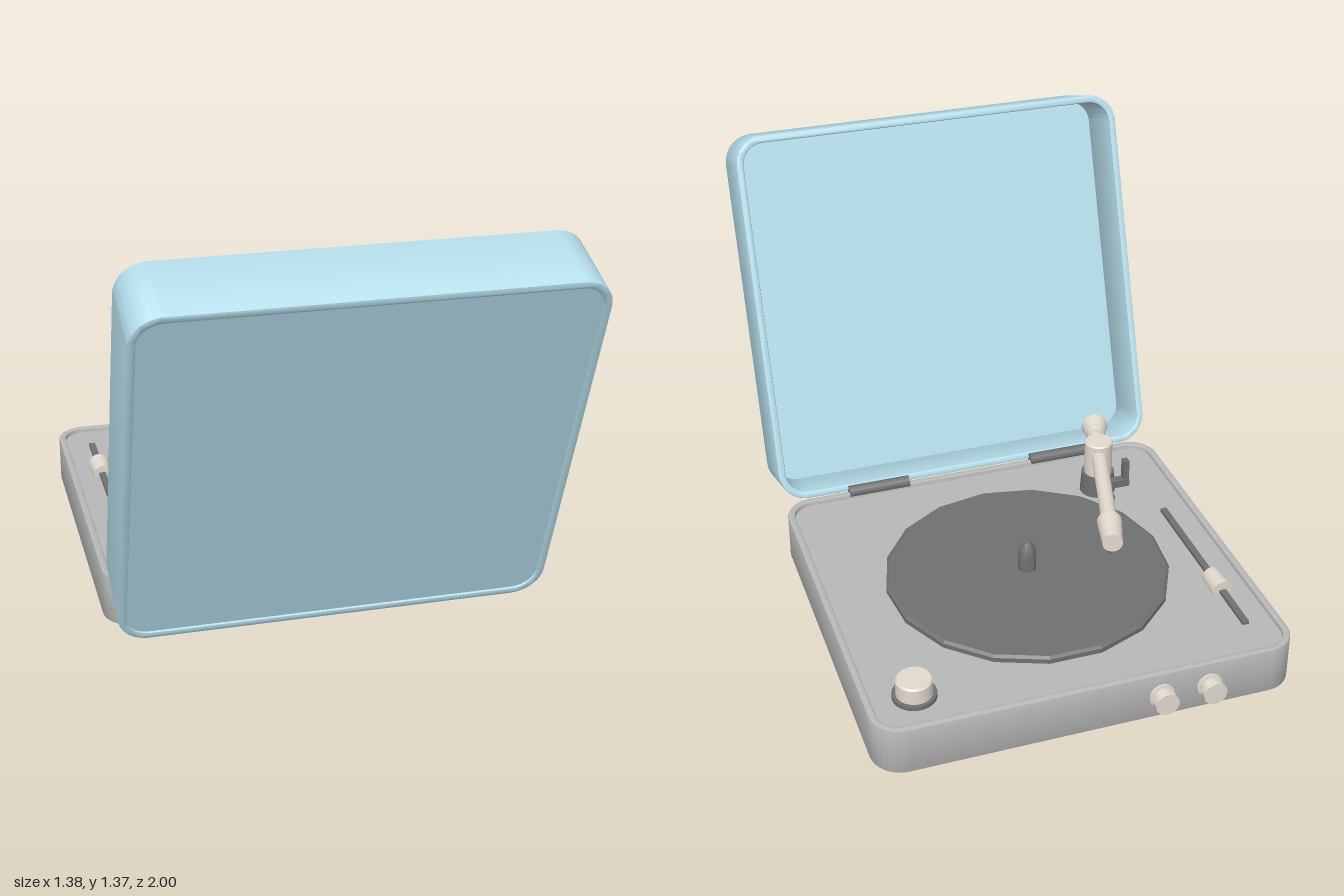
import * as THREE from 'three';
import { toCreasedNormals } from 'three/addons/utils/BufferGeometryUtils.js';

const mat = (color) => new THREE.MeshStandardMaterial({ color });
const W = 1.38, D = 1.28, R = 0.1, WALL = 0.025;
const CENTRE_Z = -0.31, DECK_Y = 0.15, BASE_H = 0.166;

// Rounded rectangle centred on the origin, shrunk by inset
function roundedRect(inset, Type = THREE.Shape) {
  const w = W / 2 - inset, h = D / 2 - inset, r = R - inset;
  const s = new Type();
  s.absarc(w - r, h - r, r, 0, Math.PI / 2);
  s.absarc(-w + r, h - r, r, Math.PI / 2, Math.PI);
  s.absarc(-w + r, -h + r, r, Math.PI, Math.PI * 1.5);
  s.absarc(w - r, -h + r, r, Math.PI * 1.5, Math.PI * 2);
  s.closePath();
  return s;
}

// Rounded wall running all the way round, with softened edges
function wallGeometry(depth) {
  const shape = roundedRect(0);
  shape.holes.push(roundedRect(WALL, THREE.Path));
  const b = 0.006;
  const g = new THREE.ExtrudeGeometry(shape, {
    depth: depth - 2 * b, curveSegments: 10, bevelEnabled: true,
    bevelThickness: b, bevelSize: b, bevelOffset: -b, bevelSegments: 2,
  });
  return toCreasedNormals(g.translate(0, 0, b), 0.6);
}

// Flat sheet filling the wall, from depth z0 to z1
function sheetGeometry(z0, z1) {
  const g = new THREE.ExtrudeGeometry(roundedRect(WALL - 0.003), {
    depth: z1 - z0, curveSegments: 10, bevelEnabled: false,
  });
  return toCreasedNormals(g.translate(0, 0, z0), 0.6);
}

function createModel() {
  const model = new THREE.Group();
  model.name = 'recordPlayer';
  const grey = mat(0xb8b8b8), dark = mat(0x707070), under = mat(0x686868);
  const cream = mat(0xe2dace), blue = mat(0xb4dcea);

  const add = (parent, name, geo, material, x = 0, y = 0, z = 0) => {
    const m = new THREE.Mesh(geo, material);
    m.name = name;
    m.position.set(x, y, z);
    parent.add(m);
    return m;
  };
  const cyl = (rTop, rBottom, h, n = 24) => new THREE.CylinderGeometry(rTop, rBottom, h, n);
  const lathe = (pts, n = 24) => toCreasedNormals(
    new THREE.LatheGeometry(pts.map(([x, y]) => new THREE.Vector2(x, y)), n), 0.6);

  // Case: wall, sunken deck and underside
  const base = new THREE.Group();
  base.name = 'base';
  base.position.z = CENTRE_Z;
  base.rotation.x = -Math.PI / 2;
  model.add(base);
  add(base, 'baseWall', wallGeometry(BASE_H), grey);
  add(base, 'deck', sheetGeometry(0.03, DECK_Y), grey);
  add(base, 'underside', sheetGeometry(0.008, 0.03), under);

  // Open lid, tilted back on its hinge line
  const lid = new THREE.Group();
  lid.name = 'lid';
  lid.position.set(0, BASE_H, 0.33);
  lid.rotation.x = THREE.MathUtils.degToRad(20);
  model.add(lid);
  add(lid, 'lidWall', wallGeometry(0.247), blue, 0, D / 2, 0);
  add(lid, 'lidPanel', sheetGeometry(0.212, 0.24), blue, 0, D / 2, 0);

  // Hinges
  for (const side of [-1, 1]) {
    add(model, 'hinge', cyl(0.022, 0.022, 0.22, 16), dark, side * 0.34, BASE_H, 0.325)
      .rotation.z = Math.PI / 2;
  }

  // Faceted platter with a bevelled top edge, and its spindle
  const platter = new THREE.LatheGeometry([[0, 0], [0.475, 0], [0.475, 0.016], [0.465, 0.023], [0, 0.023]]
    .map(([x, y]) => new THREE.Vector2(x, y)), 17);
  add(model, 'platter', toCreasedNormals(platter, 0.1), dark, 0, DECK_Y, CENTRE_Z);
  add(model, 'spindle', lathe([[0.03, 0], [0.03, 0.065], [0.024, 0.088], [0.012, 0.106], [0, 0.11]]),
    dark, 0, 0.172, CENTRE_Z);

  // Volume knob
  add(model, 'knobCollar', cyl(0.07, 0.07, 0.014, 32), dark, 0.528, 0.157, -0.79);
  add(model, 'knob', lathe([[0.058, 0], [0.058, 0.052], [0.053, 0.058], [0, 0.058]], 32),
    cream, 0.528, 0.162, -0.79);

  // Speed slider on its track
  add(model, 'sliderTrack', new THREE.BoxGeometry(0.022, 0.016, 0.675), dark, -0.575, 0.154, -0.452);
  add(model, 'slider', cyl(0.03, 0.037, 0.095), cream, -0.575, 0.156, -0.565).rotation.x = Math.PI / 2;

  // Sockets on the back wall
  for (const x of [-0.38, -0.22]) {
    const socket = add(model, 'backSocket',
      lathe([[0.042, 0], [0.042, 0.008], [0.031, 0.01], [0.031, 0.022], [0.039, 0.026], [0.039, 0.052], [0, 0.052]]),
      cream, x, 0.083, -0.948);
    socket.rotation.x = -Math.PI / 2;
  }

  // Tonearm; its local -z runs towards the stylus
  const arm = new THREE.Group();
  arm.name = 'tonearm';
  arm.position.set(-0.406, 0, 0.092);
  arm.rotation.y = -0.285;
  model.add(arm);
  add(arm, 'pivotBase', cyl(0.058, 0.063, 0.08), dark, 0, 0.187, 0);
  add(arm, 'pivotPost', lathe([[0.049, 0], [0.049, 0.122], [0.045, 0.127], [0, 0.127]]), cream, 0, 0.225, 0);
  const along = (name, rBack, rFront, z0, z1) => {
    add(arm, name, cyl(rBack, rFront, z0 - z1), cream, 0, 0.305, (z0 + z1) / 2).rotation.x = Math.PI / 2;
  };
  along('armTube', 0.027, 0.027, 0.12, -0.44);
  along('headshell', 0.042, 0.034, -0.43, -0.555);
  along('counterweightNeck', 0.036, 0.03, 0.135, 0.1);
  along('counterweight', 0.047, 0.036, 0.175, 0.125);
  add(arm, 'stylus', cyl(0.009, 0.007, 0.06, 12), dark, 0, 0.253, -0.495);

  // Arm rest beside the pivot
  const rest = new THREE.Group();
  rest.name = 'armRest';
  model.add(rest);
  add(rest, 'restFoot', new THREE.BoxGeometry(0.04, 0.03, 0.13), dark, -0.4, 0.185, 0.025);
  add(rest, 'restPost', new THREE.BoxGeometry(0.024, 0.1, 0.026), dark, -0.4, 0.21, -0.025);
  add(rest, 'restBar', new THREE.BoxGeometry(0.1, 0.026, 0.032), dark, -0.42, 0.25, -0.033);
  add(rest, 'restPin', new THREE.BoxGeometry(0.02, 0.085, 0.026), dark, -0.458, 0.295, -0.033);

  return model;
}

export { createModel };
